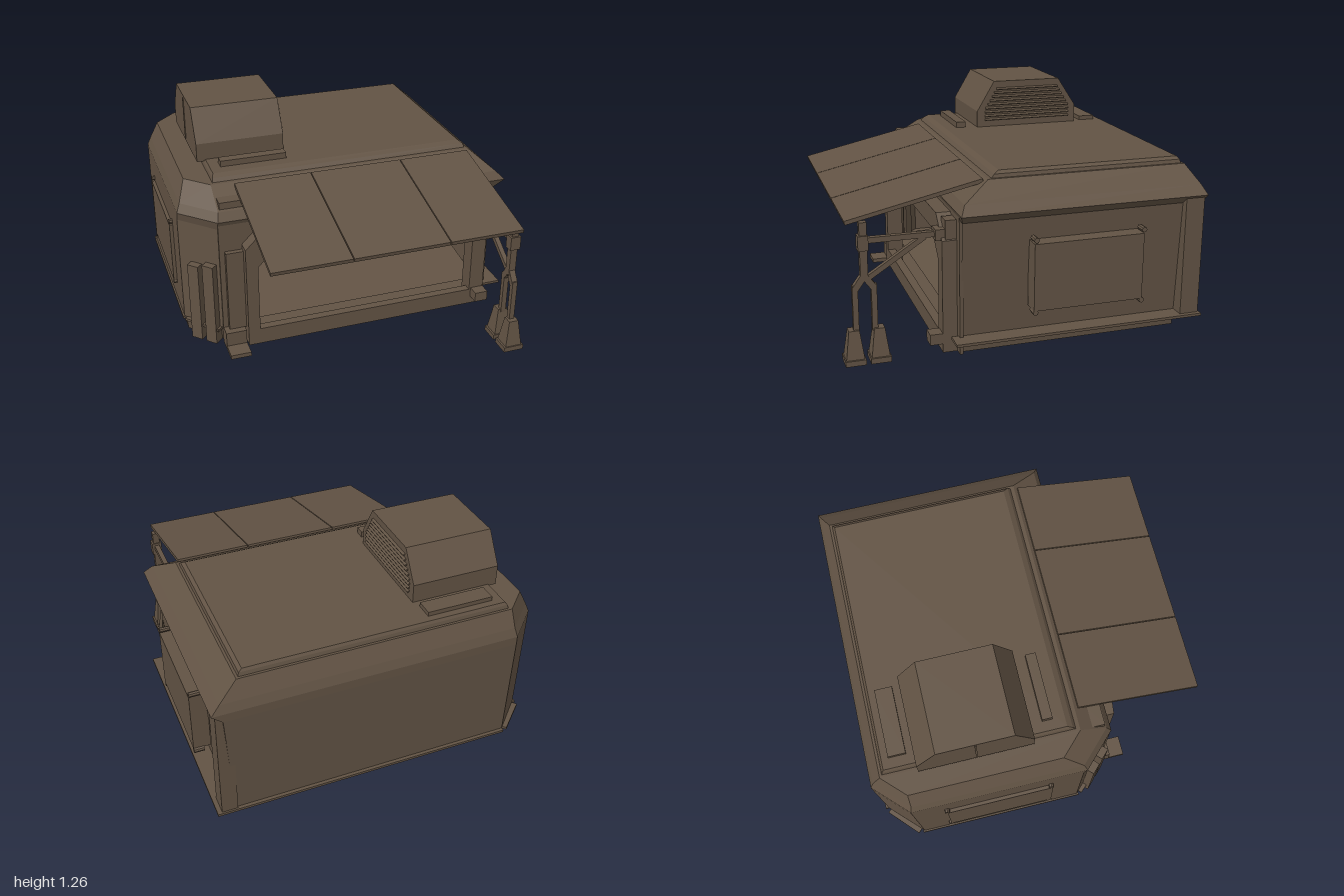
import * as THREE from 'three';

const brown = new THREE.MeshStandardMaterial({ color: 0x625344, side: THREE.DoubleSide, flatShading: true });
brown.name = 'dusty brown';

function add(parent, name, geo, x = 0, y = 0, z = 0) {
  const m = new THREE.Mesh(geo, brown);
  m.name = name;
  m.position.set(x, y, z);
  parent.add(m);
  return m;
}

// box given by its limits
function block(parent, name, x0, x1, y0, y1, z0, z1) {
  return add(parent, name, new THREE.BoxGeometry(x1 - x0, y1 - y0, z1 - z0),
    (x0 + x1) / 2, (y0 + y1) / 2, (z0 + z1) / 2);
}

// square bar between two points
function bar(parent, name, a, b, w, h = w) {
  const p = new THREE.Vector3(...a), q = new THREE.Vector3(...b);
  const m = add(parent, name, new THREE.BoxGeometry(w, h, p.distanceTo(q)));
  m.position.copy(p).add(q).multiplyScalar(0.5);
  m.lookAt(q);
  return m;
}

// footprint with cut corners on the left, counter-clockwise from above
function ring(y, x0, x1, z0, z1, c) {
  return [[x0 + c, y, z1], [x1, y, z1], [x1, y, z0], [x0 + c, y, z0], [x0, y, z0 + c], [x0, y, z1 - c]];
}

// skin over stacked rings; the front is left open below openTo
function loft(rings, openTo) {
  const v = [], n = rings[0].length;
  for (let i = 0; i < rings.length - 1; i++) {
    for (let j = 0; j < n; j++) {
      if (j === 0 && i < openTo) continue;
      const k = (j + 1) % n;
      const [a, b, c, d] = [rings[i][j], rings[i][k], rings[i + 1][k], rings[i + 1][j]];
      v.push(...a, ...b, ...c, ...a, ...c, ...d);
    }
  }
  const bottom = rings[0], top = rings[rings.length - 1];
  for (let j = 1; j < n - 1; j++) {
    v.push(...bottom[0], ...bottom[j + 1], ...bottom[j]);
    v.push(...top[0], ...top[j], ...top[j + 1]);
  }
  const g = new THREE.BufferGeometry();
  g.setAttribute('position', new THREE.Float32BufferAttribute(v, 3));
  g.computeVertexNormals();
  return g;
}

function extrude(points, depth) {
  const s = new THREE.Shape(points.map(p => new THREE.Vector2(...p)));
  return new THREE.ExtrudeGeometry(s, { depth, bevelEnabled: false });
}

// chamfered arch, open at the bottom, in the xy plane
function arch(x0, x1, top, c, depth) {
  return extrude([[x0, 0.02], [x0, top - c], [x0 + c, top], [x1 - c, top], [x1, top - c], [x1, 0.02],
    [0.75, 0.02], [0.75, 0.53], [0.62, 0.66], [-0.46, 0.66], [-0.58, 0.53], [-0.58, 0.02]], depth);
}

function makeBody(root) {
  const body = new THREE.Group();
  body.name = 'body';
  root.add(body);
  add(body, 'shell', loft([
    ring(0.02, -0.95, 0.86, -0.88, 0.37, 0.19),
    ring(0.11, -0.96, 0.87, -0.88, 0.38, 0.19),
    ring(0.115, -0.97, 0.87, -0.98, 0.38, 0.19),
    ring(0.76, -0.97, 0.91, -1.0, 0.38, 0.19),
    ring(0.81, -0.97, 0.97, -1.0, 0.4, 0.19),
    ring(0.86, -0.95, 0.92, -0.98, 0.37, 0.18),
    ring(0.955, -0.9, 0.81, -0.93, 0.21, 0.13),
  ], 3));
  // raised roof plate with bevelled edge
  add(body, 'roofPlate', loft([
    ring(0.94, -0.76, 0.8, -0.92, 0.2, 0.001),
    ring(0.975, -0.75, 0.79, -0.91, 0.17, 0.001),
    ring(0.99, -0.74, 0.77, -0.9, 0.14, 0.001),
  ], 0));
  block(body, 'rearCornerFlange', 0.86, 0.95, 0.11, 0.8, -0.99, -0.88);
  // front wall and projecting door frame
  add(body, 'frontWall', arch(-0.78, 0.89, 0.79, 0.001, 0.02), 0, 0, 0.37);
  add(body, 'doorFrame', arch(-0.65, 0.84, 0.77, 0.12, 0.08), 0, 0, 0.39);
  block(body, 'doorSill', -0.65, 0.76, 0.02, 0.12, 0.42, 0.47);
  // floor rising to the rear
  const floor = add(body, 'floor', new THREE.PlaneGeometry(1.7, 1.27), 0, 0.2, -0.28);
  floor.rotation.x = -Math.PI / 2 + 0.13;
  // lip around the foot of the walls
  const lips = [
    [[0.92, 0.11, 0.43], [0.92, 0.11, -1.0], 0.11],
    [[0.97, 0.11, -0.95], [-0.78, 0.11, -0.95], 0.1],
    [[-0.78, 0.11, -0.96], [-0.95, 0.11, -0.8], 0.08],
    [[-0.95, 0.11, -0.8], [-0.95, 0.11, 0.2], 0.06],
    [[-0.95, 0.11, 0.2], [-0.79, 0.11, 0.38], 0.06],
  ];
  for (const [a, b, w] of lips) bar(body, 'footLip', a, b, w, 0.015);
  // side hatches with corner bolts
  for (const s of [-1, 1]) {
    const inner = s > 0 ? 0.89 : 0.96;
    block(body, 'sideHatch', Math.min(s * inner, s * 0.99), Math.max(s * inner, s * 0.99), 0.26, 0.635, -0.615, 0.01);
    for (const z of [-0.615, 0]) for (const y of [0.25, 0.655]) {
      const bolt = add(body, 'hatchBolt', new THREE.CylinderGeometry(0.015, 0.015, 0.06, 8), s * 0.96, y, z);
      bolt.rotation.z = Math.PI / 2;
    }
  }
  // pipes on the cut front corner and the stand beside the door
  for (const [x, z, top] of [[-0.9, 0.28, 0.51], [-0.83, 0.35, 0.53]]) {
    const p = block(body, 'cornerPost', x - 0.035, x + 0.035, 0.02, top, z - 0.03, z + 0.03);
    p.rotation.y = -Math.PI / 4;
  }
  block(body, 'doorPost', -0.75, -0.63, 0.12, 0.62, 0.38, 0.42);
  block(body, 'footPlate', -0.78, -0.66, 0.01, 0.035, 0.38, 0.56);
  block(body, 'footBlock', -0.78, -0.66, 0.03, 0.12, 0.39, 0.46);
  block(body, 'frontStep', 0.76, 0.84, 0.07, 0.13, 0.4, 0.54);
  block(body, 'eaveBracket', -0.76, -0.6, 0.87, 0.91, 0.25, 0.36);
}

function makeRoofUnit(root) {
  const unit = new THREE.Group();
  unit.name = 'roofUnit';
  root.add(unit);
  const profile = [[0.06, 0.98], [0.06, 1.09], [0.17, 1.275], [0.6, 1.275], [0.715, 1.1], [0.715, 0.98]];
  const housing = add(unit, 'housing', extrude(profile, 0.52), -0.79);
  housing.rotation.y = Math.PI / 2;
  // tilted slats follow the sloping ends of the side
  for (let i = 0; i < 9; i++) {
    const y = 1.035 + i * 0.024;
    const inset = Math.max(0, y - 1.1) * 0.6;
    const slat = block(unit, 'louvre', -0.275, -0.257, y - 0.004, y + 0.004, -0.67 + inset, -0.11 - inset);
    slat.rotation.z = -0.5;
  }
  block(unit, 'sideSeam', -0.795, -0.789, 1.0, 1.26, -0.39, -0.38);
  block(unit, 'frontRoofStrip', -0.68, -0.29, 0.98, 1.025, 0.01, 0.07);
  block(unit, 'rearRoofStrip', -0.68, -0.29, 0.98, 1.015, -0.86, -0.76);
}

function makeAwning(root) {
  const awning = new THREE.Group();
  awning.name = 'awning';
  root.add(awning);
  for (const [x0, x1] of [[-0.64, -0.195], [-0.19, 0.355], [0.36, 0.79]]) {
    const x = (x0 + x1) / 2;
    bar(awning, 'awningPanel', [x, 0.945, 0.23], [x, 0.78, 0.965], x1 - x0, 0.022);
  }
}

function makeSupport(root) {
  const leg = new THREE.Group();
  leg.name = 'supportLeg';
  root.add(leg);
  const x = 0.785;
  for (const [zFoot, zLeg] of [[0.94, 0.925], [0.805, 0.825]]) {
    // tapered foot on a flat pad
    const foot = new THREE.CylinderGeometry(0.04, 0.07, 0.16, 4);
    foot.rotateY(Math.PI / 4);
    add(leg, 'foot', foot, x, 0.115, zFoot);
    block(leg, 'footPad', x - 0.06, x + 0.06, 0.01, 0.04, zFoot - 0.055, zFoot + 0.055);
    bar(leg, 'legStrut', [x, 0.18, zLeg], [x, 0.44, zLeg], 0.03);
    bar(leg, 'legFork', [x, 0.42, zLeg], [x, 0.49, 0.875], 0.035);
  }
  block(leg, 'legPost', x - 0.02, x + 0.02, 0.46, 0.78, 0.855, 0.895);
  block(leg, 'legCollar', x - 0.03, x + 0.03, 0.63, 0.71, 0.85, 0.905);
  bar(leg, 'legArm', [x, 0.68, 0.46], [x, 0.68, 0.87], 0.03);
  bar(leg, 'legBrace', [x, 0.47, 0.86], [x, 0.67, 0.55], 0.028);
  block(leg, 'armSocket', x - 0.04, x + 0.04, 0.65, 0.71, 0.4, 0.5);
  block(leg, 'wallBracket', x - 0.03, x + 0.05, 0.57, 0.76, 0.39, 0.45);
}

export function createModel() {
  const root = new THREE.Group();
  root.name = 'shelter';
  makeBody(root);
  makeRoofUnit(root);
  makeAwning(root);
  makeSupport(root);
  return root;
}
